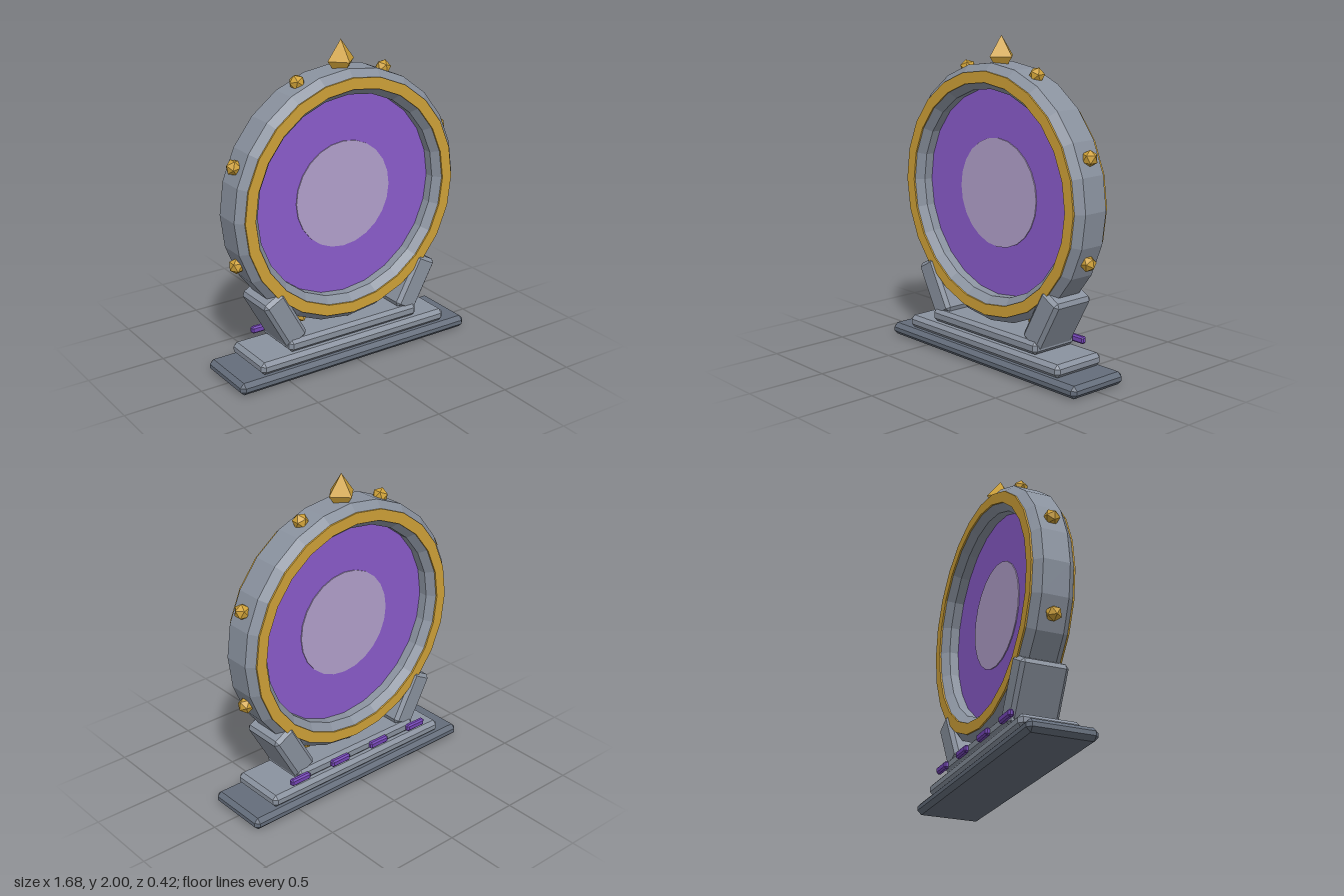
import * as THREE from 'three';
import { ConvexGeometry } from 'three/addons/geometries/ConvexGeometry.js';

const CENTRE_Y = 1.05; // height of the ring's centre
const SIDES = 24;

function flat(geometry) {
  const g = geometry.index ? geometry.toNonIndexed() : geometry;
  g.computeVertexNormals();
  return g;
}

// Box of the given full size with every edge cut off at 45 degrees
function chamferBox(w, h, d, c) {
  const points = [];
  const [x, y, z] = [w / 2, h / 2, d / 2];
  for (const sx of [-1, 1]) for (const sy of [-1, 1]) for (const sz of [-1, 1]) {
    points.push(
      new THREE.Vector3(sx * x, sy * (y - c), sz * (z - c)),
      new THREE.Vector3(sx * (x - c), sy * y, sz * (z - c)),
      new THREE.Vector3(sx * (x - c), sy * (y - c), sz * z)
    );
  }
  return new ConvexGeometry(points);
}

// Closed profile of [radius, z] pairs swept round the z axis
function sweptRing(profile) {
  const points = [...profile, profile[0]].map(([r, z]) => new THREE.Vector2(r, z));
  return flat(new THREE.LatheGeometry(points, SIDES).rotateX(Math.PI / 2));
}

function disc(radius, thickness) {
  return flat(new THREE.CylinderGeometry(radius, radius, thickness, SIDES).rotateX(Math.PI / 2));
}

export function createModel() {
  const model = new THREE.Group();
  model.name = 'portal';

  const material = (name, color) => {
    const m = new THREE.MeshStandardMaterial({ color });
    m.name = name;
    return m;
  };
  const stone = material('stone', 0x8a929f);
  const darkStone = material('dark stone', 0x646d7b);
  const gold = material('gold', 0xd0a238);
  const violet = material('violet', 0x8b5ccc);
  const lilac = material('lilac', 0xb3a1cd);
  const runeViolet = material('rune violet', 0x7646b8);

  const add = (name, geometry, mat, x = 0, y = 0, z = 0) => {
    const mesh = new THREE.Mesh(geometry, mat);
    mesh.name = name;
    mesh.position.set(x, y, z);
    model.add(mesh);
    return mesh;
  };

  // Stepped base
  add('lowerStep', chamferBox(1.68, 0.078, 0.42, 0.026), darkStone, 0, 0.039);
  add('middleStep', chamferBox(1.366, 0.08, 0.374, 0.024), stone, 0, 0.12);
  add('upperStep', chamferBox(0.95, 0.08, 0.332, 0.022), stone, 0, 0.205);

  // Leaning supports
  for (const side of [-1, 1]) {
    const support = add(side > 0 ? 'leftSupport' : 'rightSupport',
      chamferBox(0.155, 0.36, 0.294, 0.022), stone, side * 0.485, 0.375);
    support.rotation.z = -side * 0.5;
  }

  // Rune bars along the back of the upper step
  for (let i = 0; i < 4; i++) {
    add('rune', chamferBox(0.145, 0.045, 0.036, 0.01), runeViolet, (i - 1.5) * 0.318, 0.205, -0.173);
  }

  // Stone ring with bevelled edges
  add('stoneRing', sweptRing([
    [0.79, -0.083], [0.79, 0.083], [0.742, 0.13], [0.68, 0.13],
    [0.635, 0.083], [0.635, -0.083], [0.68, -0.13], [0.742, -0.13]
  ]), stone, 0, CENTRE_Y);

  // Gold bands on both faces
  for (const side of [-1, 1]) {
    add(side > 0 ? 'frontBand' : 'backBand', sweptRing([
      [0.746, -0.005], [0.746, 0.005], [0.677, 0.005], [0.677, -0.005]
    ]), gold, 0, CENTRE_Y, side * 0.132);
  }

  // Glowing surface and its pale centre
  add('portalSurface', disc(0.645, 0.05), violet, 0, CENTRE_Y);
  add('portalCore', disc(0.336, 0.062), lilac, 0, CENTRE_Y);

  // Gold studs round the rim, each with a corner pointing outward
  const cornerAngle = Math.atan((1 + Math.sqrt(5)) / 2);
  for (let i = 0; i < 8; i++) {
    const a = (i + 0.5) * Math.PI / 4;
    const stud = add('stud', flat(new THREE.IcosahedronGeometry(0.05)), gold,
      0.795 * Math.cos(a), CENTRE_Y + 0.795 * Math.sin(a));
    stud.rotation.z = a - cornerAngle;
  }

  // Crown crystal
  const crystal = flat(new THREE.OctahedronGeometry(1).scale(0.093, 0.124, 0.093));
  add('crownCrystal', crystal, gold, 0, 1.876);

  return model;
}
